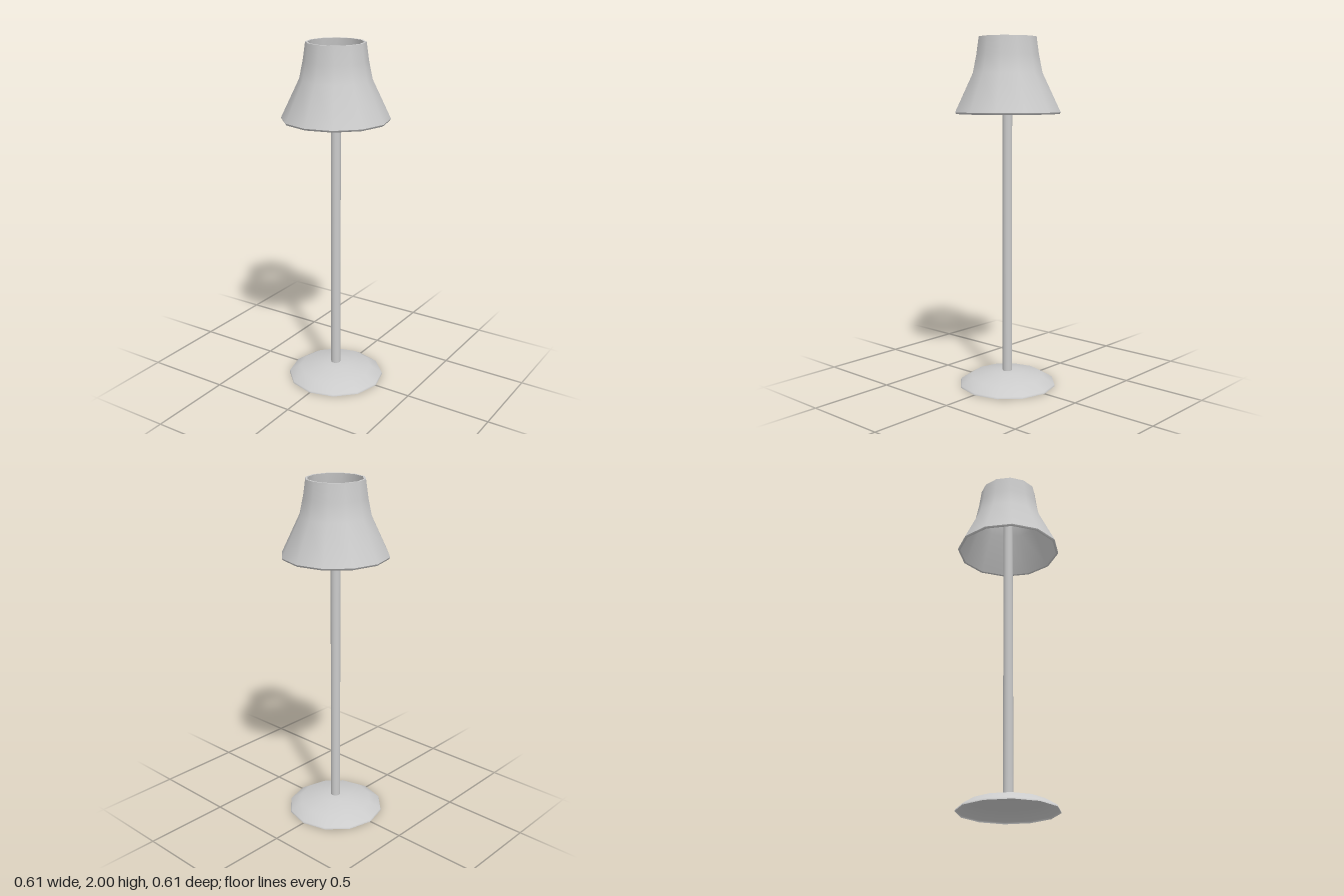
import * as THREE from 'three';

const SIDES = 12;

// Turned surface through [radius, height] points
function turned(name, profile, material) {
  const points = profile.map(([r, y]) => new THREE.Vector2(r, y));
  const mesh = new THREE.Mesh(new THREE.LatheGeometry(points, SIDES), material);
  mesh.name = name;
  return mesh;
}

export function createModel() {
  const material = new THREE.MeshStandardMaterial({ color: 0xcccccc, side: THREE.DoubleSide });
  const model = new THREE.Group();
  model.name = 'floorLamp';

  // Thin domed foot, hollow beneath, with a hole for the pole
  model.add(turned('base', [[0.282, 0], [0.279, 0.01], [0.213, 0.051], [0.08, 0.078], [0.028, 0.08]], material));

  // Open tube rising into the shade
  model.add(turned('pole', [[0.028, 0.08], [0.028, 1.8]], material));

  // Flared shade with wall thickness; separate strips keep the rims sharp
  const outer = [[0.303, 1.584], [0.2, 1.8], [0.179, 1.9], [0.165, 2]];
  const inner = [[0.153, 2], [0.167, 1.9], [0.188, 1.8], [0.289, 1.578]];
  const shade = new THREE.Group();
  shade.name = 'shade';
  shade.add(
    turned('shadeOuter', outer, material),
    turned('shadeTopRim', [outer[3], inner[0]], material),
    turned('shadeInner', inner, material),
    turned('shadeBottomRim', [inner[3], [0.298, 1.574], outer[0]], material)
  );
  model.add(shade);

  return model;
}
